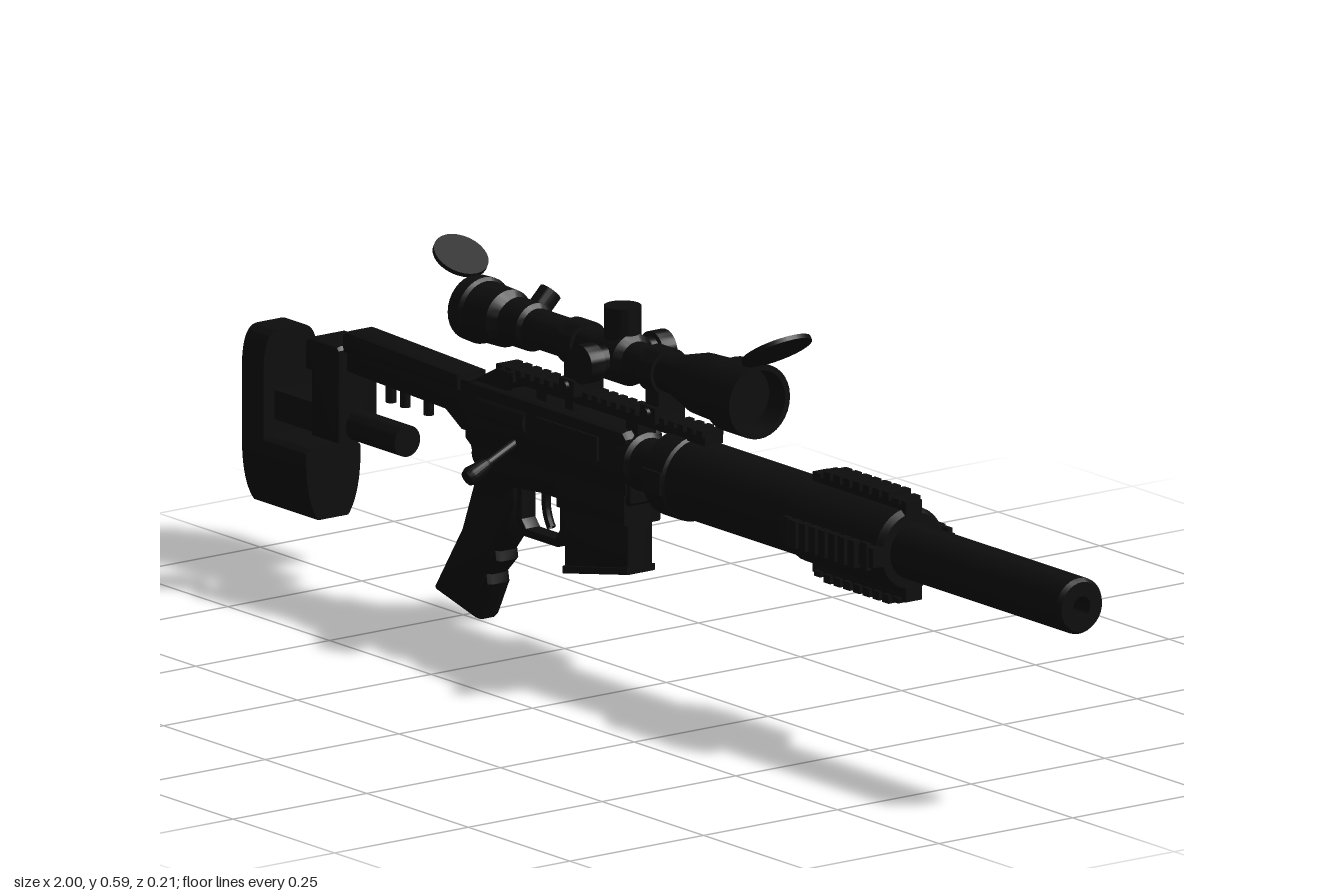
import * as THREE from 'three';
import { toCreasedNormals } from 'three/addons/utils/BufferGeometryUtils.js';

const material = new THREE.MeshStandardMaterial({ color: 0x0d0d0d, side: THREE.DoubleSide });
const BORE = 0.322, SCOPE = 0.472;

export function createModel() {
  const model = new THREE.Group();
  model.name = 'rifle';

  const add = (name, geometry, x = 0, y = 0, z = 0, parent = model) => {
    const mesh = new THREE.Mesh(toCreasedNormals(geometry, 0.6), material);
    mesh.name = name;
    mesh.position.set(x, y, z);
    parent.add(mesh);
    return mesh;
  };
  const box = (name, x0, x1, y0, y1, halfZ, z = 0) =>
    add(name, new THREE.BoxGeometry(x1 - x0, y1 - y0, halfZ * 2), (x0 + x1) / 2, (y0 + y1) / 2, z);
  // Turned part along x from [x, radius] pairs
  const turned = (name, pairs, y, segments = 32) => {
    const g = new THREE.LatheGeometry(pairs.map(([x, r]) => new THREE.Vector2(r, x)), segments);
    return add(name, g.rotateZ(-Math.PI / 2), 0, y);
  };
  const outline = (pts) => new THREE.Shape(pts.map(([a, b]) => new THREE.Vector2(a, b)));
  // Side-profile plate with bevelled edges, centred on z
  const plate = (name, pts, halfZ, bevel = 0.006, hole) => {
    const shape = outline(pts);
    if (hole) shape.holes.push(outline(hole));
    const g = new THREE.ExtrudeGeometry(shape, {
      depth: (halfZ - bevel) * 2, bevelEnabled: bevel > 0, bevelSize: bevel,
      bevelThickness: bevel, bevelOffset: -bevel, bevelSegments: 2,
    });
    return add(name, g.translate(0, 0, bevel - halfZ));
  };
  const disc = (name, r, h, x, y, z = 0, rx = 0, rz = 0) => {
    const m = add(name, new THREE.CylinderGeometry(r, r, h, 28), x, y, z);
    m.rotation.set(rx, 0, rz);
    return m;
  };

  // Barrel, handguard and suppressor
  turned('barrelNut', [[-0.1, 0], [-0.1, 0.045], [-0.07, 0.045], [-0.065, 0.038], [-0.015, 0.038], [-0.012, 0.05], [0.01, 0.05], [0.01, 0]], BORE);
  turned('handguard', [[0, 0], [0, 0.06], [0.005, 0.066], [0.05, 0.066], [0.053, 0.061], [0.35, 0.061], [0.355, 0.065],
    [0.575, 0.065], [0.585, 0.058], [0.585, 0]], BORE);
  turned('suppressor', [[0.55, 0], [0.55, 0.043], [0.993, 0.043], [1, 0.038], [1, 0.016], [0.95, 0.016], [0.95, 0]], BORE);

  // Four toothed accessory rails around the handguard
  for (let side = 0; side < 4; side++) {
    const rail = new THREE.Group();
    rail.name = 'accessoryRail';
    rail.position.y = BORE;
    rail.rotation.x = side * Math.PI / 2;
    model.add(rail);
    add('railBase', new THREE.BoxGeometry(0.23, 0.022, 0.03), 0.472, 0.066, 0, rail);
    for (let i = 0; i < 9; i++) {
      const end = i === 0 || i === 8;
      add('railTooth', new THREE.BoxGeometry(0.016, end ? 0.008 : 0.013, 0.042), 0.376 + i * 0.024, end ? 0.076 : 0.079, 0, rail);
    }
  }
  // Small rails at the rear of the handguard
  for (const s of [-1, 1]) box('rearRailStub', 0.005, 0.05, 0.305, 0.34, 0.008, s * 0.06);

  // Top rail on posts
  box('topRail', -0.42, 0.095, 0.383, 0.396, 0.017);
  for (let i = 0; i < 22; i++) box('topRailTooth', -0.415 + i * 0.0235, -0.402 + i * 0.0235, 0.395, 0.405, 0.02);
  for (const [a, b] of [[-0.41, -0.38], [-0.32, -0.295], [-0.25, -0.23], [-0.1, -0.07]]) box('railPost', a, b, 0.355, 0.386, 0.017);
  plate('rearBridge', [[-0.475, 0.35], [-0.475, 0.366], [-0.41, 0.4], [-0.37, 0.4], [-0.37, 0.385], [-0.4, 0.35]], 0.024, 0.004);

  // Receiver and chassis
  plate('upperReceiver', [[-0.475, 0.28], [-0.475, 0.362], [-0.46, 0.37], [-0.085, 0.37], [-0.075, 0.36], [-0.075, 0.27], [-0.46, 0.27]], 0.037, 0.01);
  plate('lowerReceiver', [[-0.475, 0.3], [-0.07, 0.3], [-0.07, 0.262], [-0.088, 0.25], [-0.245, 0.245], [-0.26, 0.235],
    [-0.37, 0.225], [-0.4, 0.2], [-0.45, 0.2], [-0.455, 0.24]], 0.032, 0.006);
  plate('magazineWell', [[-0.25, 0.22], [-0.08, 0.225], [-0.08, 0.28], [-0.25, 0.28]], 0.036);
  plate('magazine', [[-0.243, 0.12], [-0.087, 0.15], [-0.087, 0.27], [-0.243, 0.27]], 0.024, 0.004);
  plate('magazineFloor', [[-0.245, 0.118], [-0.084, 0.149], [-0.084, 0.16], [-0.245, 0.13]], 0.027, 0.003);
  box('ejectionPort', -0.29, -0.14, 0.315, 0.352, 0.004, 0.037);
  const ring = add('slingLoop', new THREE.TorusGeometry(0.02, 0.003, 8, 24), -0.47, 0.25);
  ring.rotation.y = 0.3;

  // Trigger and guard
  plate('triggerGuard', [[-0.375, 0.245], [-0.375, 0.17], [-0.358, 0.15], [-0.275, 0.15], [-0.255, 0.17], [-0.25, 0.245]], 0.014, 0.003,
    [[-0.361, 0.225], [-0.361, 0.176], [-0.35, 0.163], [-0.28, 0.163], [-0.268, 0.178], [-0.268, 0.225]]);
  const triggerCurve = new THREE.QuadraticBezierCurve3(new THREE.Vector3(-0.315, 0.235, 0), new THREE.Vector3(-0.325, 0.2, 0), new THREE.Vector3(-0.305, 0.172, 0));
  add('trigger', new THREE.TubeGeometry(triggerCurve, 10, 0.007, 8));

  // Pistol grip with finger swells
  plate('grip', [[-0.46, 0.24], [-0.475, 0.2], [-0.5, 0.135], [-0.568, 0.032], [-0.565, 0.025], [-0.463, 0], [-0.458, 0.008],
    [-0.432, 0.06], [-0.435, 0.075], [-0.41, 0.1], [-0.413, 0.115], [-0.388, 0.145], [-0.37, 0.19], [-0.37, 0.24]], 0.024, 0.012);

  // Bolt and its handle
  disc('boltBody', 0.024, 0.12, -0.38, 0.335, 0.02, 0, Math.PI / 2);
  const handle = new THREE.Group();
  handle.name = 'boltHandle';
  handle.position.set(-0.35, 0.305, 0.02);
  handle.rotation.x = Math.PI / 2 + 0.43;
  model.add(handle);
  add('boltKnob', new THREE.LatheGeometry([[0, 0], [0.007, 0], [0.007, 0.07], [0.01, 0.075], [0.015, 0.106], [0.012, 0.114], [0, 0.115]]
    .map(([r, y]) => new THREE.Vector2(r, y)), 20), 0, 0, 0, handle);

  // Stock arm with cheek rest and adjusters
  plate('stockArm', [[-0.785, 0.315], [-0.785, 0.365], [-0.46, 0.365], [-0.45, 0.285], [-0.5, 0.285], [-0.54, 0.308]], 0.022);
  plate('cheekRest', [[-0.785, 0.345], [-0.785, 0.375], [-0.775, 0.38], [-0.5, 0.372], [-0.5, 0.345]], 0.029, 0.008);
  for (const x of [-0.7, -0.665, -0.607]) disc('cheekAdjuster', 0.008, 0.04, x, 0.303);
  plate('stockHinge', [[-0.865, 0.305], [-0.865, 0.35], [-0.855, 0.356], [-0.785, 0.356], [-0.78, 0.35], [-0.78, 0.205], [-0.85, 0.205], [-0.85, 0.305]], 0.038, 0.008);
  disc('stockRod', 0.024, 0.3, -0.81, 0.231, 0, 0, Math.PI / 2);
  box('padBracket', -0.95, -0.84, 0.21, 0.255, 0.03);

  // Butt pad: rounded end profile extruded along x
  const endShape = (y0, y1, round) => {
    const s = new THREE.Shape();
    s.moveTo(-0.028, y0);
    s.lineTo(0.028, y0);
    s.quadraticCurveTo(0.051, y0 + 0.03, 0.051, y0 + 0.1);
    s.lineTo(0.051, y1 - round);
    s.quadraticCurveTo(0.05, y1, 0.022, y1);
    s.lineTo(-0.022, y1);
    s.quadraticCurveTo(-0.05, y1, -0.051, y1 - round);
    s.lineTo(-0.051, y0 + 0.1);
    s.quadraticCurveTo(-0.051, y0 + 0.03, -0.028, y0);
    return s;
  };
  const pad = (name, x, length, shape) => add(name, new THREE.ExtrudeGeometry(shape, { depth: length, bevelEnabled: false }).rotateY(Math.PI / 2), x);
  pad('buttPad', -1, 0.053, endShape(0.076, 0.347, 0.06));
  pad('toeBlock', -0.95, 0.108, endShape(0.076, 0.188, 0.01));

  // Scope
  turned('scopeBody', [[-0.47, 0], [-0.47, 0.04], [-0.495, 0.04], [-0.495, 0.05], [-0.47, 0.051], [-0.465, 0.046], [-0.41, 0.044], [-0.4, 0.03],
    [-0.18, 0.03], [-0.03, 0.03], [0.01, 0.031], [0.07, 0.047], [0.14, 0.05], [0.145, 0.057], [0.207, 0.057], [0.207, 0.048], [0.17, 0.046], [0.17, 0]], SCOPE);
  turned('zoomRing', [[-0.39, 0.03], [-0.39, 0.037], [-0.345, 0.037], [-0.34, 0.03]], SCOPE);
  turned('turretHousing', [[-0.165, 0.03], [-0.155, 0.04], [-0.105, 0.04], [-0.095, 0.03]], SCOPE);
  disc('elevationTurret', 0.028, 0.05, -0.13, 0.526);
  for (const s of [-1, 1]) {
    disc('sideTurretNeck', 0.022, 0.03, -0.13, SCOPE, s * 0.045, Math.PI / 2);
    disc('sideTurret', 0.03, 0.026, -0.13, SCOPE, s * 0.067, Math.PI / 2);
  }
  disc('zoomKnob', 0.018, 0.05, -0.365, SCOPE + 0.026, -0.026, -Math.PI / 4);

  // Scope rings and mounts
  for (const x of [-0.232, -0.032]) {
    turned('scopeRing', [[x - 0.018, 0.03], [x - 0.018, 0.036], [x + 0.018, 0.036], [x + 0.018, 0.03]], SCOPE);
    box('ringMount', x - 0.016, x + 0.016, 0.4, 0.448, 0.02);
    box('ringClamp', x - 0.018, x + 0.018, 0.395, 0.42, 0.028);
    for (const s of [-1, 1]) disc('clampBolt', 0.008, 0.01, x, 0.41, s * 0.029, Math.PI / 2);
  }

  // Flip-up lens caps
  disc('frontLensCap', 0.055, 0.007, 0.249, 0.56, 0, 0, 0.59);
  disc('rearLensCap', 0.043, 0.007, -0.529, 0.544, 0, 0, -0.55);

  model.children.forEach((part) => { part.position.z -= 0.017; });
  return model;
}
